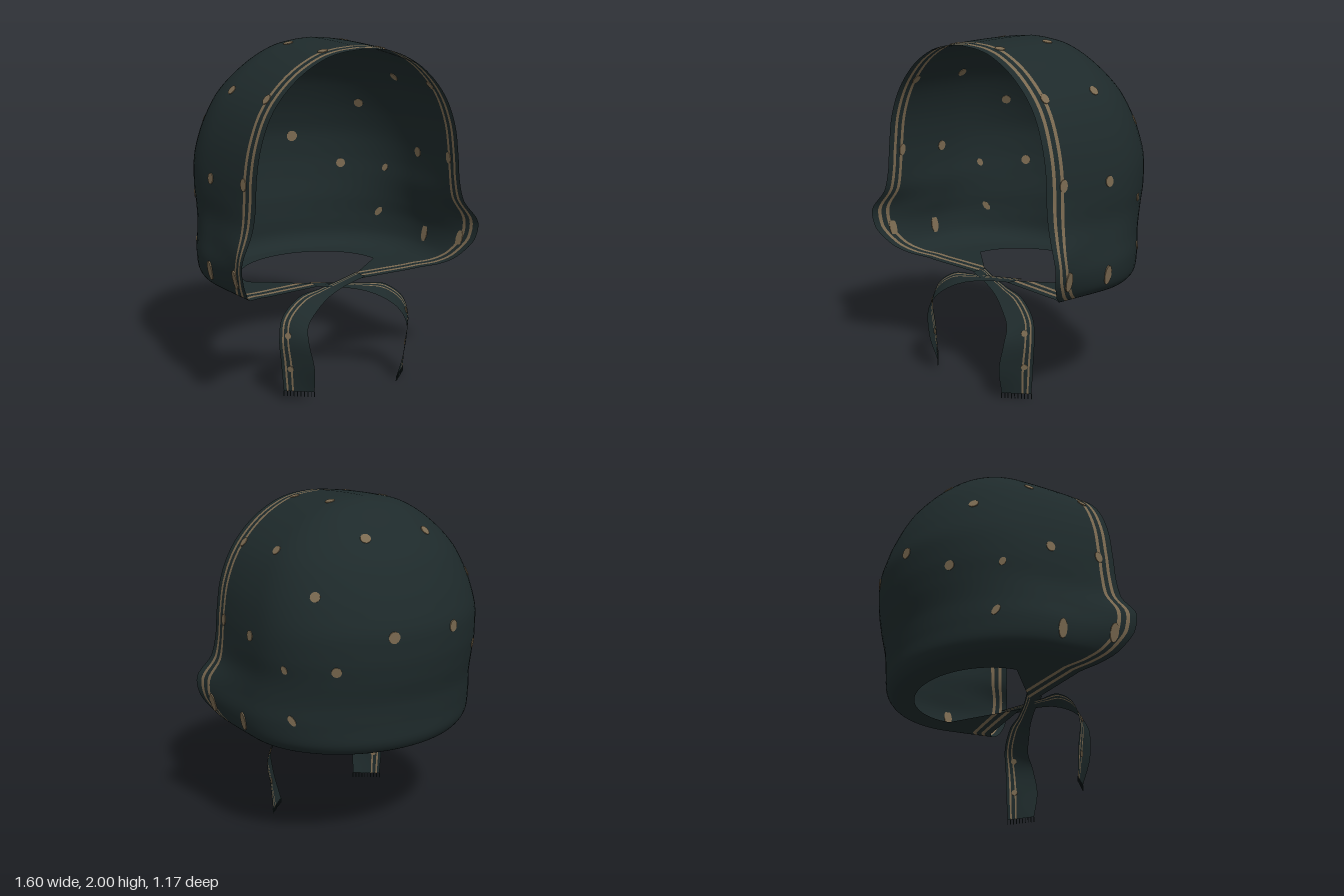
import * as THREE from 'three';
import { mergeVertices } from 'three/addons/utils/BufferGeometryUtils.js';

const material = (name, color) => {
  const m = new THREE.MeshStandardMaterial({ color, side: THREE.DoubleSide });
  m.name = name;
  return m;
};

// Smooth sheet of points rows[r][c]; columns accepted by isStripe use material 1.
function sheet(rows, isStripe) {
  const n = rows[0].length;
  const lists = [[], []];
  for (let r = 0; r < rows.length - 1; r++) {
    for (let c = 0; c < n - 1; c++) {
      const a = r * n + c, b = a + n;
      lists[isStripe(c) ? 1 : 0].push(a, a + 1, b, a + 1, b + 1, b);
    }
  }
  let geo = new THREE.BufferGeometry();
  geo.setAttribute('position', new THREE.Float32BufferAttribute(rows.flat(2), 3));
  geo.setIndex([...lists[0], ...lists[1]]);
  geo.addGroup(0, lists[0].length, 0);
  geo.addGroup(lists[0].length, lists[1].length, 1);
  geo = mergeVertices(geo, 1e-5);
  geo.computeVertexNormals();
  return geo;
}

const spline = pts => new THREE.CatmullRomCurve3(pts.map(p => new THREE.Vector3(...p)));

// Height, half width at the ears, half width at the front edge, back z, front z
const LEVELS = [
  [2.0, 0, 0, 0, 0.53],
  [1.985, 0.155, 0.15, -0.08, 0.53],
  [1.95, 0.275, 0.265, -0.18, 0.53],
  [1.85, 0.44, 0.425, -0.31, 0.53],
  [1.69, 0.59, 0.565, -0.45, 0.53],
  [1.5, 0.675, 0.645, -0.54, 0.535],
  [1.32, 0.712, 0.675, -0.585, 0.535],
  [1.18, 0.72, 0.685, -0.58, 0.54],
  [1.05, 0.715, 0.715, -0.56, 0.55],
  [0.92, 0.735, 0.795, -0.53, 0.59],
  [0.81, 0.755, 0.785, -0.52, 0.575],
  [0.7, 0.735, 0.72, -0.515, 0.5],
  [0.65, 0.69, 0.67, -0.495, 0.43],
  [0.62, 0.61, 0.55, -0.455, 0.35],
  [0.612, 0.52, 0.3, -0.4, 0.325],
  [0.61, 0.45, 0.06, -0.36, 0.31],
];
const EDGE = [0, 0.04, 0.062, 0.092, 0.114]; // stripe borders behind the front edge
const SIDE = 9, BACK = 18;

// Hood: U-shaped plan sections stacked from crown to the turned-in lower hem
function hoodGeometry() {
  const widths = spline(LEVELS.map(l => l.slice(0, 3)));
  const depths = spline(LEVELS.map(l => [l[3], l[4], 0]));
  const rows = [];
  const count = (LEVELS.length - 1) * 5;
  for (let i = 0; i <= count; i++) {
    const { x: y, y: ear, z: edge } = widths.getPoint(i / count);
    const { x: back, y: front } = depths.getPoint(i / count);
    const mid = back + 0.6 * ear / 0.72;
    const length = front - mid;
    // Flared above, straight-edged chin flaps at the hem
    const flare = 1 + THREE.MathUtils.clamp((y - 0.61) / 0.1, 0, 1);
    const offsets = [...EDGE];
    const start = EDGE[EDGE.length - 1];
    for (let s = 1; s <= SIDE; s++) offsets.push(start + (length - start) * s / SIDE);
    const half = offsets.map(d => {
      const k = Math.max(0, 1 - d / length) ** flare;
      const drop = 0.025 * k * Math.max(0, (y - 1.6) / 0.4);
      return [ear + (edge - ear) * k, y - drop, front - d];
    });
    for (let b = 1; b <= BACK; b++) {
      const a = b / BACK * Math.PI / 2;
      half.push([b === BACK ? 0 : ear * Math.cos(a), y, mid - (mid - back) * Math.sin(a)]);
    }
    const mirrored = half.slice(0, -1).reverse().map(([px, py, pz]) => [-px, py, pz]);
    rows.push([...half, ...mirrored]);
  }
  const last = rows[0].length - 2;
  return sheet(rows, c => [1, 3].includes(Math.min(c, last - c)));
}

// Ribbon centre line and the half-width vector towards its outer edge
const TIE = [
  [-0.16, 0.615, 0.28], [0, 0.597, 0.33], [0.14, 0.572, 0.37], [0.26, 0.535, 0.4],
  [0.36, 0.45, 0.43], [0.385, 0.35, 0.46], [0.365, 0.2, 0.465], [0.345, 0.03, 0.445],
];
const TIE_WIDTH = [
  [0, 0, -0.05], [0, 0.005, -0.04], [0.01, 0.015, -0.04], [0.03, 0.03, -0.05],
  [0.05, 0.02, -0.055], [0.055, 0, -0.065], [0.06, 0, -0.075], [0.065, 0, -0.055],
];
const ACROSS = [-1, -0.5, 0, 0.34, 0.46, 0.68, 0.8, 1];

function tieRows(side) {
  const path = spline(TIE), width = spline(TIE_WIDTH);
  const rows = [];
  for (let i = 0; i <= 42; i++) {
    const t = i / 42, p = path.getPoint(t), w = width.getPoint(t);
    const lift = side < 0 ? 0.008 + 0.022 * t : 0;
    const spread = side < 0 ? 1.05 : 1;
    rows.push(ACROSS.map(k => [
      side * spread * (p.x + w.x * k), p.y + w.y * k + lift, p.z + w.z * k,
    ]));
  }
  return rows;
}

export function createModel() {
  const group = new THREE.Group();
  group.name = 'headscarf';
  const cloth = material('dark teal cloth', 0x1e2a2b);
  const tan = material('tan print', 0x7a6950);

  const add = (name, geometry, mat, parent = group) => {
    const mesh = new THREE.Mesh(geometry, mat);
    mesh.name = name;
    parent.add(mesh);
    return mesh;
  };

  // Printed dots: thin discs laid where a ray meets the cloth
  const dots = new THREE.Group();
  dots.name = 'dots';
  group.add(dots);
  const up = new THREE.Vector3(0, 1, 0);
  const dot = (target, from, dir, radius, stretch = 1) => {
    const ray = new THREE.Raycaster(new THREE.Vector3(...from), new THREE.Vector3(...dir));
    const hit = ray.intersectObject(target)[0];
    if (!hit) return;
    const disc = add('dot', new THREE.CylinderGeometry(radius, radius, 0.008, 12), tan, dots);
    disc.position.copy(hit.point);
    disc.quaternion.setFromUnitVectors(up, hit.face.normal);
    disc.scale.x = stretch;
  };

  const hood = add('hood', hoodGeometry(), [cloth, tan]);

  for (const side of [1, -1]) {
    const label = side > 0 ? 'left' : 'right';

    // Back, side and crown dots
    for (const [x, y, r] of [[0.21, 1.32, 0.034], [0.21, 1.82, 0.03], [0.54, 1.54, 0.029], [0.49, 1.14, 0.029]])
      dot(hood, [side * x, y, -3], [0, 0, 1], r);
    for (const [z, y, r, stretch] of [[0.06, 1.74, 0.028, 1], [0.1, 1.27, 0.028, 1.1], [0.14, 0.76, 0.026, 2.2],
      [0.42, 1.73, 0.025, 1.2], [0.425, 1.29, 0.025, 1.4], [0.455, 0.79, 0.026, 2.2],
      [-0.18, 1.13, 0.018, 1.4], [-0.21, 0.84, 0.018, 1.9]])
      dot(hood, [side * 3, y, z], [-side, 0, 0], r, stretch);
    for (const z of [0.06, 0.415]) dot(hood, [side * 0.19, 3, z], [0, -1, 0], 0.028);

    // Tie ribbon crossing under the chin
    const rows = tieRows(side);
    const tie = add(label + 'Tie', sheet(rows, c => c === 3 || c === 5), [cloth, tan]);
    for (const y of [0.2, 0.4]) dot(tie, [side * 3, y, 0.43], [-side, 0, 0], 0.018);

    // Fringe threads along the ribbon end
    const end = rows[rows.length - 1];
    const a = new THREE.Vector3(...end[0]), b = new THREE.Vector3(...end[end.length - 1]);
    for (let i = 0; i <= 9; i++) {
      const thread = add(label + 'Fringe', new THREE.BoxGeometry(0.004, 0.03, 0.004), cloth);
      thread.position.lerpVectors(a, b, i / 9);
      thread.position.y -= 0.015;
    }
  }
  return group;
}
